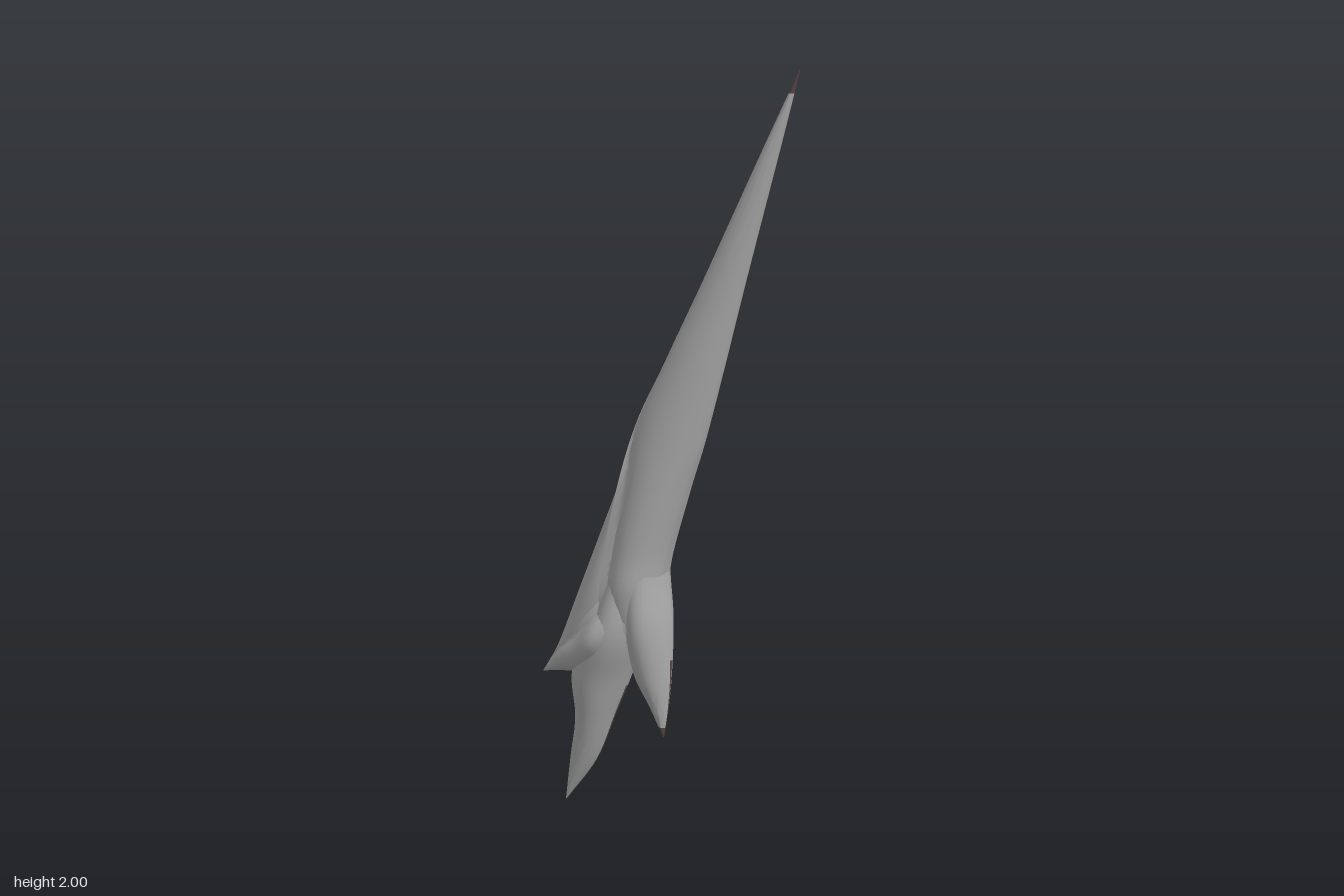
import * as THREE from 'three';
import { toCreasedNormals } from 'three/addons/utils/BufferGeometryUtils.js';

function flat(name, color) {
  const material = new THREE.MeshStandardMaterial({ color, side: THREE.DoubleSide });
  material.name = name;
  return material;
}
const materials = [flat('bone grey', 0xaeaeae), flat('dark reddish brown', 0x5a484a)];
const HALF = 16, STEPS = 6;

// Lofts lens-shaped sections [ax, ay, bx, by, half depth, bluntness of the a edge].
// isDark(s, k, front) picks the brown faces: s is the section, k runs from edge a to edge b.
function loft(name, sections, power, isDark) {
  const edgeA = new THREE.CatmullRomCurve3(sections.map(s => new THREE.Vector3(s[0], s[1], s[4])));
  const edgeB = new THREE.CatmullRomCurve3(sections.map(s => new THREE.Vector3(s[2], s[3], s[5] || 0)));
  const rows = (sections.length - 1) * STEPS, ring = HALF * 2 + 2;
  const positions = [], faces = [[], []];
  for (let i = 0; i <= rows; i++) {
    const a = edgeA.getPoint(i / rows), b = edgeB.getPoint(i / rows);
    for (let j = 0; j < ring; j++) {
      const front = j <= HALF;
      const u = -Math.cos(((front ? j : ring - 1 - j) / HALF) * Math.PI);
      const lens = Math.pow(Math.max(0, 1 - u * u), power);
      const depth = Math.max(0, a.z) * Math.max(lens, u < 0 ? b.z : 0);
      const f = (u + 1) / 2;
      positions.push(a.x + (b.x - a.x) * f, a.y + (b.y - a.y) * f, front ? depth : -depth);
      if (i < rows) {
        const p = i * ring + j, q = i * ring + (j + 1) % ring;
        const dark = isDark(i / STEPS, front ? j : ring - 2 - j, front);
        faces[dark ? 1 : 0].push(p, p + ring, q, q, p + ring, q + ring);
      }
    }
  }
  const geometry = new THREE.BufferGeometry();
  geometry.setAttribute('position', new THREE.Float32BufferAttribute(positions, 3));
  geometry.setIndex(faces.flat());
  geometry.addGroup(0, faces[0].length, 0);
  geometry.addGroup(faces[0].length, faces[1].length, 1);
  const mesh = new THREE.Mesh(toCreasedNormals(geometry, 0.7), materials);
  mesh.name = name;
  return mesh;
}

export function createModel() {
  const group = new THREE.Group();
  group.name = 'prongedSpike';

  // Long spike with a flat back face low on its left edge, dark tip and upper seam
  group.add(loft('spike', [
    [0.364, 2.0, 0.366, 2.0, 0.001],
    [0.27, 1.8, 0.312, 1.8, 0.017],
    [0.085, 1.4, 0.203, 1.4, 0.036],
    [-0.01, 1.2, 0.15, 1.2, 0.049],
    [-0.1, 1.0, 0.095, 1.0, 0.062, 0.2],
    [-0.135, 0.84, 0.043, 0.84, 0.07, 0.6],
    [-0.165, 0.68, -0.005, 0.68, 0.075, 0.65],
    [-0.18, 0.55, -0.022, 0.6, 0.078, 0.65],
    [-0.17, 0.45, -0.05, 0.45, 0.05, 0.3],
  ], 0.65, (s, k) => s < 0.3 || (k === 0 && s < 3.3)));

  // Thin fin filling the back face down to the hooked prong, dark along its outer edge
  group.add(loft('backFin', [
    [-0.095, 1.01, -0.085, 1.01, 0.002],
    [-0.142, 0.87, -0.1, 0.87, 0.025],
    [-0.2, 0.72, -0.11, 0.72, 0.036],
    [-0.27, 0.54, -0.13, 0.54, 0.045],
    [-0.325, 0.4, -0.2, 0.42, 0.025],
    [-0.358, 0.335, -0.3, 0.35, 0.004],
  ], 0.9, (s, k) => k === 0 && s > 2));

  // Side prong: flared scoop with a flattened upper face and a dark spot at the back
  group.add(loft('hookedProng', [
    [-0.1, 0.62, -0.08, 0.44, 0.06, 0.2],
    [-0.185, 0.54, -0.17, 0.37, 0.094, 0.5],
    [-0.25, 0.465, -0.24, 0.34, 0.068, 0.65],
    [-0.3, 0.415, -0.295, 0.332, 0.04, 0.6],
    [-0.34, 0.365, -0.335, 0.326, 0.015, 0.4],
    [-0.369, 0.32, -0.367, 0.318, 0.001],
  ], 0.75, (s, k, front) => !front && Math.hypot((s + 0.08 - 1.15) / 0.5, (k + 0.5 - 7) / 3.6) < 1));

  // Longest prong, curving down to the lowest point, dark along both edges
  group.add(loft('middleProng', [
    [-0.15, 0.7, -0.05, 0.7, 0.05],
    [-0.225, 0.47, -0.075, 0.47, 0.086],
    [-0.285, 0.34, -0.122, 0.34, 0.066],
    [-0.277, 0.22, -0.16, 0.25, 0.044],
    [-0.292, 0.11, -0.215, 0.12, 0.02],
    [-0.305, 0.0, -0.302, 0.002, 0.001],
  ], 0.8, (s, k) => s > 2 && (k === 0 || k === HALF - 1)));

  // Short prong on the opposite side, dark at the tip and along its outer edge
  group.add(loft('shortProng', [
    [-0.1, 0.84, 0.0, 0.82, 0.045],
    [-0.12, 0.66, -0.015, 0.65, 0.066],
    [-0.13, 0.5, -0.004, 0.5, 0.073],
    [-0.108, 0.36, -0.004, 0.37, 0.046],
    [-0.066, 0.285, -0.012, 0.285, 0.022],
    [-0.028, 0.21, -0.024, 0.21, 0.001],
  ], 0.8, (s, k) => s > 4.6 || (k === HALF - 1 && s > 2.5)));

  return group;
}
